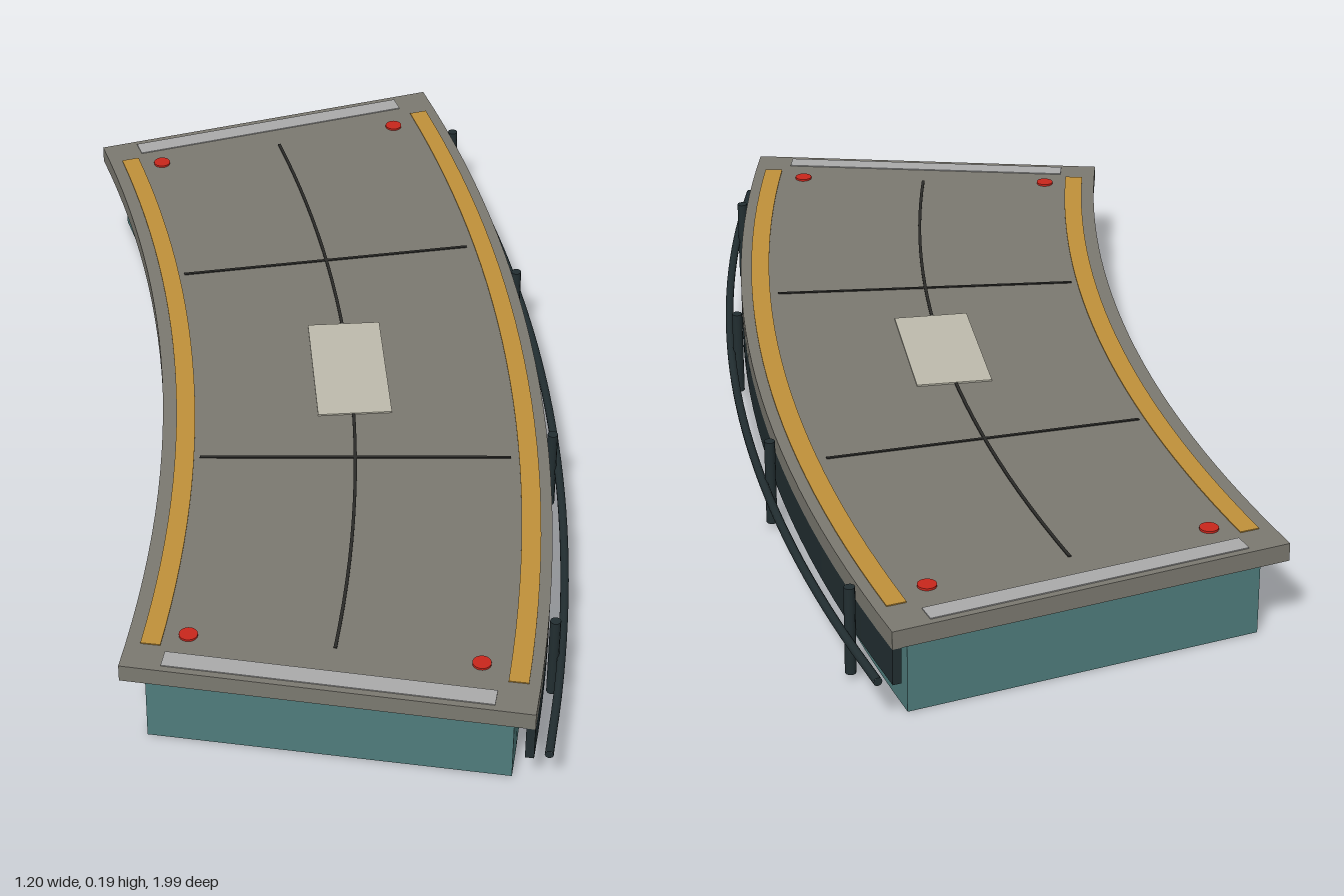
import * as THREE from 'three';

// Everything follows one arc; positions are polar (radius, degrees) about its centre.
const CX = -3.644, CZ = -1.05;
const A0 = 0.8, A1 = 28.7, MID = (A0 + A1) / 2;
const R_IN = 3.474, R_OUT = 4.21, R_MID = (R_IN + R_OUT) / 2;
const SLAB_Y = 0.15, TOP = 0.184;
const rad = THREE.MathUtils.degToRad;

const material = (color) => new THREE.MeshStandardMaterial({ color });
const mats = {
  base: material(0x4f7c7c),
  slab: material(0x7b7970),
  dark: material(0x222e31),
  seam: material(0x2a2a28),
  orange: material(0xc0913a),
  white: material(0xaaaaaa),
  patch: material(0xbebbac),
  red: material(0xc8261c),
};

const polar = (r, deg, y = 0) =>
  new THREE.Vector3(CX + r * Math.cos(rad(deg)), y, CZ + r * Math.sin(rad(deg)));

export function createModel() {
  const group = new THREE.Group();

  const add = (name, geometry, mat) => {
    const mesh = new THREE.Mesh(geometry, mat);
    mesh.name = name;
    group.add(mesh);
    return mesh;
  };

  // Curved block between two radii, two angles and two heights
  const sector = (name, r0, r1, a0, a1, y0, y1, mat, steps = 28) => {
    const points = [];
    const push = (r, a) => {
      const p = polar(r, a);
      points.push(new THREE.Vector2(p.x, -p.z));
    };
    for (let i = 0; i <= steps; i++) push(r0, a0 + (a1 - a0) * i / steps);
    for (let i = steps; i >= 0; i--) push(r1, a0 + (a1 - a0) * i / steps);
    const geo = new THREE.ExtrudeGeometry(new THREE.Shape(points), { depth: y1 - y0, bevelEnabled: false });
    geo.rotateX(-Math.PI / 2).translate(0, y0, 0);
    return add(name, geo, mat);
  };

  // Straight block aligned with the arc; shift slides it along the tangent
  const block = (name, r, deg, size, y, mat, shift = 0) => {
    const mesh = add(name, new THREE.BoxGeometry(...size), mat);
    const a = rad(deg);
    mesh.position.copy(polar(r, deg, y));
    mesh.position.x -= Math.sin(a) * shift;
    mesh.position.z += Math.cos(a) * shift;
    mesh.rotation.y = -a;
    return mesh;
  };

  // Foundation, deck slab and outer skirt
  sector('foundation', R_IN + 0.04, R_OUT - 0.04, A0 + 0.47, A1 - 0.47, 0, SLAB_Y, mats.base);
  sector('deckSlab', R_IN, R_OUT, A0, A1, SLAB_Y, TOP, mats.slab);
  sector('outerSkirt', R_OUT - 0.016, R_OUT, A0, A1, 0.082, SLAB_Y, mats.dark);

  // Edge stripes along both curved sides
  sector('innerStripe', 3.5, 3.536, 1.87, 27.65, TOP, TOP + 0.002, mats.orange);
  sector('outerStripe', 4.153, 4.189, 1.87, 27.65, TOP, TOP + 0.002, mats.orange);

  // Pale strips across both ends
  block('backEndStrip', R_MID, A0, [0.59, 0.002, 0.037], TOP + 0.001, mats.white, 0.031);
  block('frontEndStrip', R_MID, A1, [0.59, 0.002, 0.037], TOP + 0.001, mats.white, -0.031);

  // Joints in the deck and the centre patch
  sector('centreSeam', R_MID - 0.003, R_MID + 0.003, 2.4, 27.05, TOP, TOP + 0.002, mats.seam);
  for (const deg of [9.15, 18.95])
    block('crossSeam', R_MID, deg, [0.59, 0.002, 0.006], TOP + 0.001, mats.seam);
  block('centrePatch', R_MID, MID, [0.143, 0.003, 0.295], TOP + 0.0015, mats.patch);

  // Red corner markers
  for (const r of [3.58, 4.102]) for (const deg of [2.4, 27.1]) {
    const marker = add('cornerMarker', new THREE.CylinderGeometry(0.017, 0.017, 0.004, 20), mats.red);
    marker.position.copy(polar(r, deg, TOP + 0.002));
  }

  // Guard rail with closed ends
  const R_RAIL = 4.236, RAIL_Y = 0.095, RAIL_RADIUS = 0.008;
  const path = [];
  for (let i = 0; i <= 12; i++) path.push(polar(R_RAIL, A0 + (A1 - A0) * i / 12, RAIL_Y));
  add('guardRail', new THREE.TubeGeometry(new THREE.CatmullRomCurve3(path), 40, RAIL_RADIUS, 10), mats.dark);
  for (const [deg, turn] of [[A0, Math.PI], [A1, 0]]) {
    const cap = add('railEndCap', new THREE.CircleGeometry(RAIL_RADIUS, 10), mats.dark);
    cap.position.copy(polar(R_RAIL, deg, RAIL_Y));
    cap.rotation.y = turn - rad(deg);
  }

  // Upright fender posts
  for (const deg of [3.1, 10.5, 17.9, 25.25]) {
    const post = add('fenderPost', new THREE.CylinderGeometry(0.01, 0.01, 0.168, 10), mats.dark);
    post.position.copy(polar(4.222, deg, 0.096));
  }

  return group;
}
